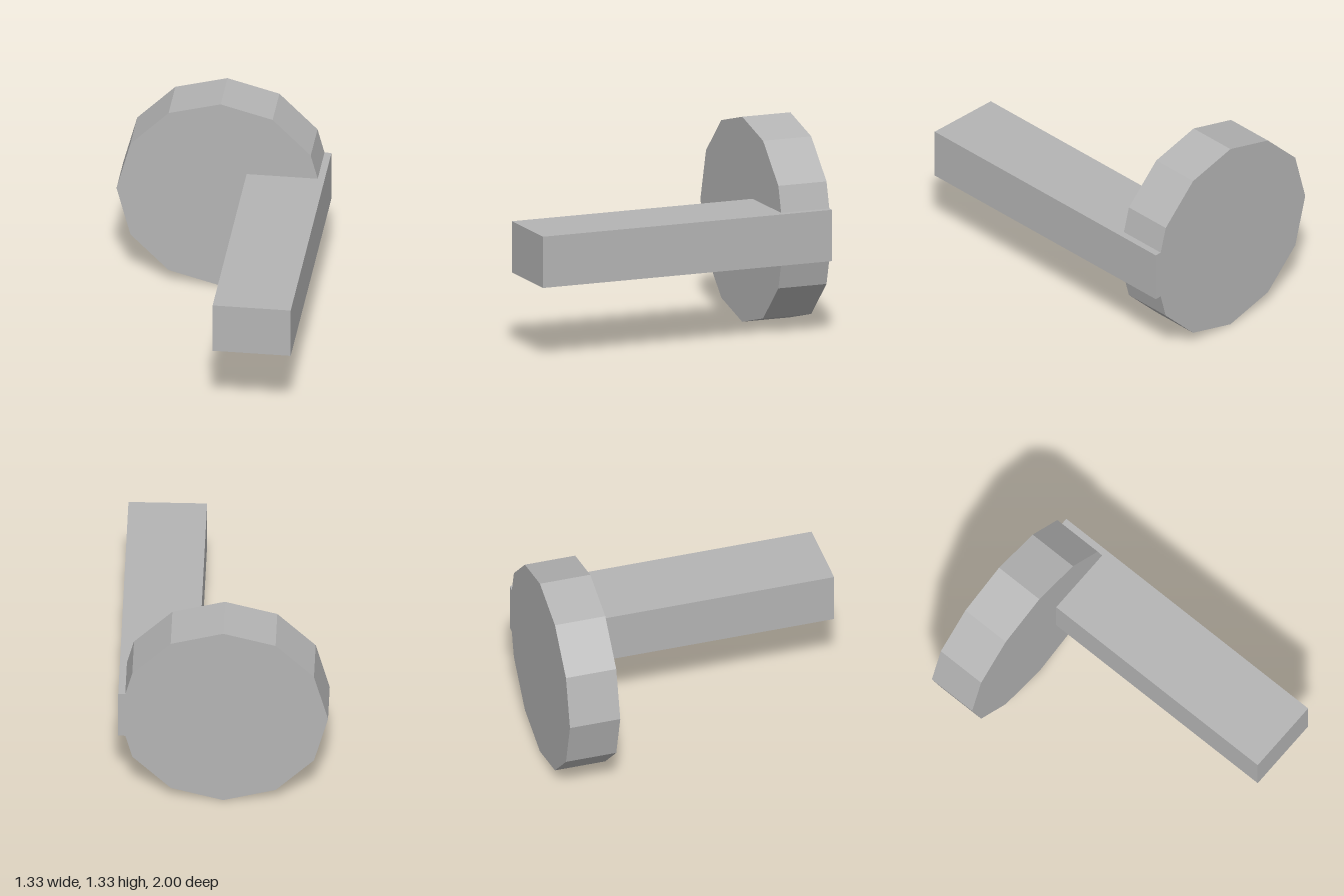
import * as THREE from 'three';

export function createModel() {
  const model = new THREE.Group();
  const grey = new THREE.MeshStandardMaterial({ color: 0xb4b4b4, flatShading: true });
  grey.name = 'grey';

  const radius = 2 / 3;
  const thickness = 1 / 3;

  // Twelve-sided disc standing upright at the back
  const disc = new THREE.Mesh(
    new THREE.CylinderGeometry(radius, radius, thickness, 12).rotateX(Math.PI / 2),
    grey
  );
  disc.name = 'disc';
  disc.position.set(0, radius, -1 + thickness / 2);

  // Long bar running forward from the disc's left edge
  const bar = new THREE.Mesh(new THREE.BoxGeometry(0.5, thickness, 2), grey);
  bar.name = 'bar';
  bar.position.set(radius - 0.25, radius, 0);

  model.add(disc, bar);
  return model;
}
